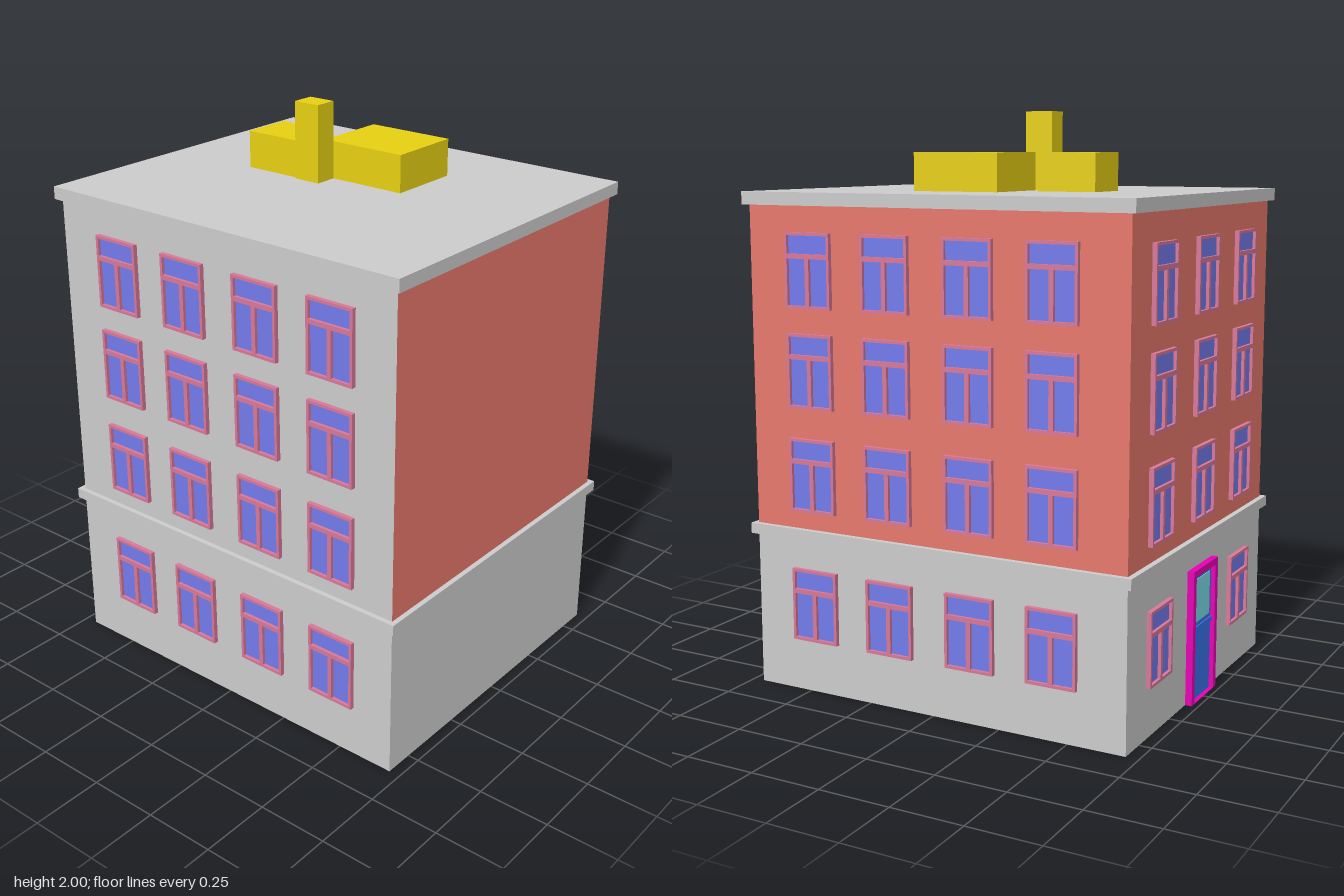
import * as THREE from 'three';

const mat = (color, side = THREE.FrontSide) => new THREE.MeshStandardMaterial({ color, side, flatShading: true });
const GREY = mat(0xcccccc), GREY_WALL = mat(0xcccccc, THREE.DoubleSide), RED_WALL = mat(0xe8786c, THREE.DoubleSide);
const YELLOW = mat(0xe7d012), FRAME = mat(0xd87898), GLASS = mat(0x727bec, THREE.DoubleSide);
const DOOR_FRAME = mat(0xe600b4), DOOR = mat(0x3a72ea), DOOR_GLASS = mat(0x78dde6);

// Wall footprint and the wider footprint of the ledges
const WALL = { x0: -0.605, x1: 0.602, z0: -0.705, z1: 0.71 };
const LEDGE = { x0: -0.623, x1: 0.622, z0: -0.725, z1: 0.728 };

function add(parent, name, geometry, material) {
  const mesh = new THREE.Mesh(geometry, material);
  mesh.name = name;
  parent.add(mesh);
  return mesh;
}

// Box given by its two corners
function box(parent, name, material, x0, x1, y0, y1, z0, z1) {
  const mesh = add(parent, name, new THREE.BoxGeometry(x1 - x0, y1 - y0, z1 - z0), material);
  mesh.position.set((x0 + x1) / 2, (y0 + y1) / 2, (z0 + z1) / 2);
  return mesh;
}

function rect(Type, x0, x1, y0, y1) {
  return new Type([[x0, y0], [x1, y0], [x1, y1], [x0, y1]].map(p => new THREE.Vector2(...p)));
}

// Four thin walls, open above and below; leftMaterial is for the -x side
function storey(parent, name, y0, y1, material, leftMaterial) {
  const { x0, x1, z0, z1 } = WALL, h = y1 - y0, cx = (x0 + x1) / 2, cz = (z0 + z1) / 2;
  const sides = [
    ['Front', x1 - x0, cx, z1, 0, material], ['Back', x1 - x0, cx, z0, Math.PI, material],
    ['Right', z1 - z0, x1, cz, Math.PI / 2, material], ['Left', z1 - z0, x0, cz, -Math.PI / 2, leftMaterial],
  ];
  for (const [side, width, x, z, turn, m] of sides) {
    const wall = add(parent, name + side, new THREE.PlaneGeometry(width, h), m);
    wall.position.set(x, (y0 + y1) / 2, z);
    wall.rotation.y = turn;
  }
}

// Window frame with a transom light above two casements
const W = 0.09, H = 0.1275, DEPTH = 0.016;
const frameShape = rect(THREE.Shape, -W, W, -H, H);
frameShape.holes.push(
  rect(THREE.Path, -W + 0.01, W - 0.01, 0.056, H - 0.01),
  rect(THREE.Path, -W + 0.01, -0.008, -H + 0.01, 0.04),
  rect(THREE.Path, 0.008, W - 0.01, -H + 0.01, 0.04));
const frameGeometry = new THREE.ExtrudeGeometry(frameShape, { depth: DEPTH, bevelEnabled: false });
const glassGeometry = new THREE.PlaneGeometry(2 * W - 0.004, 2 * H - 0.004);

function addWindow(parent, x, y, z, turn) {
  const group = new THREE.Group();
  group.name = 'window';
  add(group, 'windowFrame', frameGeometry, FRAME);
  add(group, 'windowGlass', glassGeometry, GLASS).position.z = 0.005;
  group.position.set(x, y, z);
  group.rotation.y = turn;
  parent.add(group);
}

export function createModel() {
  const model = new THREE.Group();
  model.name = 'apartmentBuilding';

  // Walls
  storey(model, 'groundFloorWall', 0, 0.56, GREY_WALL, GREY_WALL);
  storey(model, 'upperWall', 0.56, 1.69, RED_WALL, GREY_WALL);

  // Ledge ring between the floors, and the roof slab
  const ring = rect(THREE.Shape, LEDGE.x0, LEDGE.x1, -LEDGE.z1, -LEDGE.z0);
  ring.holes.push(rect(THREE.Path, WALL.x0, WALL.x1, -WALL.z1, -WALL.z0));
  const ledge = add(model, 'ledge', new THREE.ExtrudeGeometry(ring, { depth: 0.037, bevelEnabled: false }), GREY);
  ledge.rotation.x = -Math.PI / 2;
  ledge.position.y = 0.545;
  box(model, 'roofSlab', GREY, LEDGE.x0, LEDGE.x1, 1.688, 1.732, LEDGE.z0, LEDGE.z1);

  // Rooftop blocks
  box(model, 'chimney', YELLOW, -0.037, 0.045, 1.73, 2, -0.153, -0.053);
  box(model, 'largeRoofBlock', YELLOW, 0.045, 0.317, 1.73, 1.862, -0.09, 0.232);
  box(model, 'smallRoofBlock', YELLOW, -0.027, 0.154, 1.73, 1.862, -0.37, -0.158);

  // Windows: four columns on each side, three at the back
  [0.312, 0.772, 1.132, 1.472].forEach((y, floor) => {
    for (const z of [0.468, 0.165, -0.145, -0.445]) {
      addWindow(model, WALL.x1, y, z, Math.PI / 2);
      addWindow(model, WALL.x0, y, z, -Math.PI / 2);
    }
    for (const x of [-0.36, 0, 0.36]) {
      if (floor === 0 && x === 0) continue; // the door stands here
      addWindow(model, x, y - (floor === 0 ? 0.012 : 0.006), WALL.z0, Math.PI);
    }
  });

  // Back door
  const door = new THREE.Group();
  door.name = 'door';
  const surround = rect(THREE.Shape, -0.112, 0.112, 0, 0.472);
  surround.holes.push(rect(THREE.Path, -0.088, 0.088, 0.0005, 0.448));
  add(door, 'doorFrame', new THREE.ExtrudeGeometry(surround, { depth: 0.024, bevelEnabled: false }), DOOR_FRAME);
  box(door, 'doorLeaf', DOOR, -0.088, 0.088, 0, 0.448, 0, 0.008);
  box(door, 'doorRail', DOOR, -0.088, 0.088, 0.245, 0.262, 0.008, 0.013);
  box(door, 'doorPane', DOOR_GLASS, -0.07, 0.07, 0.278, 0.43, 0.006, 0.011);
  door.position.set(-0.002, 0, WALL.z0);
  door.rotation.y = Math.PI;
  model.add(door);

  return model;
}
